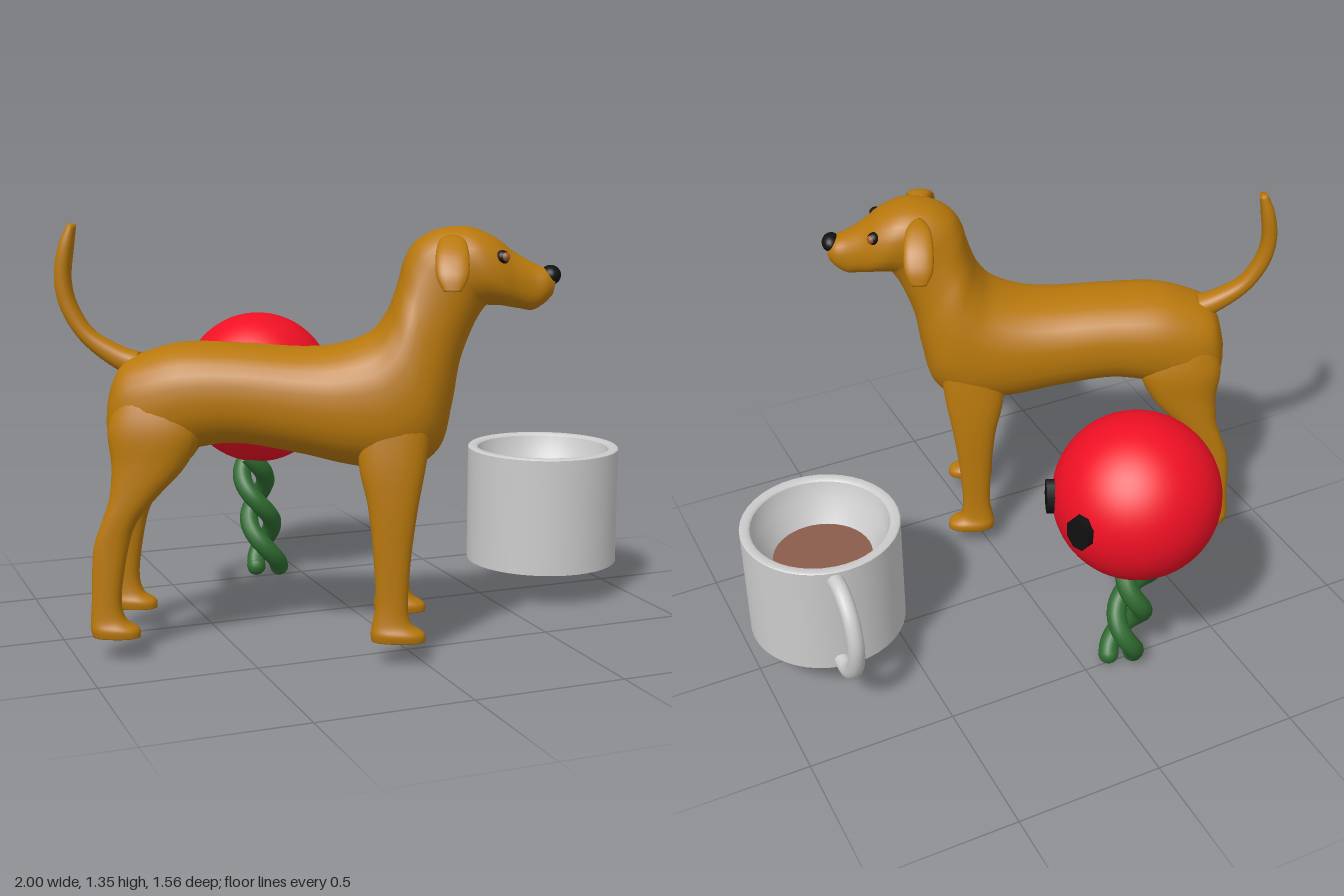
import * as THREE from 'three';

const mat = (color, side = THREE.FrontSide) => new THREE.MeshStandardMaterial({ color, side });
const fur = mat(0xb8780c), black = mat(0x111111), brown = mat(0x9a5a30);
const red = mat(0xf01024), green = mat(0x2f6b30), cocoa = mat(0x8a5d4b);
const grey = mat(0xcccccc, THREE.DoubleSide);

function add(parent, name, geometry, material, x = 0, y = 0, z = 0) {
  const m = new THREE.Mesh(geometry, material);
  m.name = name;
  m.position.set(x, y, z);
  parent.add(m);
  return m;
}

// Smooth closed skin through rings [ax, ay, bx, by, halfWidth, zOffset]:
// a and b are opposite points of the ring in the xy plane.
function loft(rings, mirror = 1, steps = 5, sides = 28) {
  const curve = (i, j) => new THREE.SplineCurve(rings.map(r => new THREE.Vector2(r[i], r[j] ?? 0)));
  const A = curve(0, 1), B = curve(2, 3), W = curve(4, 5);
  const n = (rings.length - 1) * steps;
  const pos = [], idx = [];
  const ring = (t, size) => {
    const a = A.getPoint(t), b = B.getPoint(t), w = W.getPoint(t);
    for (let j = 0; j < sides; j++) {
      const th = j / sides * Math.PI * 2;
      const pow = v => Math.sign(v) * Math.abs(v) ** 0.85 * size;
      const c = pow(Math.cos(th)), s = pow(Math.sin(th));
      pos.push((a.x + b.x + (a.x - b.x) * c) / 2, (a.y + b.y + (a.y - b.y) * c) / 2, w.y * mirror + w.x * s);
    }
  };
  ring(0, 0.001);
  for (let i = 0; i <= n; i++) ring(i / n, 1);
  ring(1, 0.001);
  for (let i = 0; i < n + 2; i++) for (let j = 0; j < sides; j++) {
    const a = i * sides + j, b = i * sides + (j + 1) % sides;
    idx.push(a, b, a + sides, b, b + sides, a + sides);
  }
  const g = new THREE.BufferGeometry();
  g.setAttribute('position', new THREE.Float32BufferAttribute(pos, 3));
  g.setIndex(idx);
  g.computeVertexNormals();
  return g;
}

function createDog() {
  const dog = new THREE.Group();
  dog.name = 'dog';
  dog.position.set(-0.3, 0, 0.335);
  dog.rotation.y = -24 * Math.PI / 180;

  // Rump to chest, up the neck and out along the muzzle
  add(dog, 'bodyAndHead', loft([
    [-0.585, 0.86, -0.605, 0.76, 0.05],
    [-0.55, 0.92, -0.59, 0.67, 0.13],
    [-0.48, 0.955, -0.5, 0.61, 0.17],
    [-0.36, 0.983, -0.36, 0.645, 0.185],
    [-0.18, 0.98, -0.2, 0.67, 0.182],
    [0, 0.97, 0, 0.64, 0.188],
    [0.12, 0.98, 0.16, 0.605, 0.198],
    [0.22, 1.02, 0.33, 0.59, 0.203],
    [0.27, 1.08, 0.44, 0.66, 0.195],
    [0.295, 1.14, 0.478, 0.8, 0.175],
    [0.31, 1.19, 0.5, 0.93, 0.15],
    [0.325, 1.245, 0.54, 1.04, 0.135],
    [0.36, 1.3, 0.575, 1.1, 0.13],
    [0.43, 1.338, 0.59, 1.105, 0.132],
    [0.52, 1.345, 0.62, 1.105, 0.132],
    [0.6, 1.315, 0.65, 1.1, 0.115],
    [0.66, 1.27, 0.68, 1.095, 0.09],
    [0.72, 1.235, 0.72, 1.09, 0.07],
    [0.765, 1.215, 0.755, 1.11, 0.058],
    [0.79, 1.19, 0.78, 1.135, 0.035],
  ]), fur);

  add(dog, 'tail', loft([
    [-0.5, 0.86, -0.5, 0.95, 0.05],
    [-0.595, 0.91, -0.56, 0.97, 0.042],
    [-0.685, 0.985, -0.645, 1.02, 0.036],
    [-0.745, 1.08, -0.695, 1.1, 0.034],
    [-0.765, 1.18, -0.712, 1.18, 0.034],
    [-0.75, 1.28, -0.702, 1.275, 0.033],
    [-0.718, 1.352, -0.692, 1.345, 0.02],
  ]), fur);

  const ear = loft([
    [0.08, 1.325, 0.08, 1.27, 0.025],
    [0.14, 1.322, 0.13, 1.28, 0.042],
    [0.21, 1.28, 0.185, 1.25, 0.05],
    [0.255, 1.22, 0.225, 1.2, 0.047],
    [0.268, 1.168, 0.25, 1.168, 0.025],
  ]);

  for (const side of [1, -1]) {
    add(dog, 'frontLeg', loft([
      [0.42, 0.82, 0.2, 0.82, 0.06, 0.12],
      [0.4, 0.64, 0.19, 0.64, 0.06, 0.14],
      [0.375, 0.5, 0.22, 0.5, 0.046, 0.158],
      [0.355, 0.35, 0.237, 0.35, 0.038, 0.163],
      [0.345, 0.2, 0.245, 0.2, 0.034, 0.165],
      [0.355, 0.13, 0.235, 0.13, 0.039, 0.165],
      [0.395, 0.1, 0.23, 0.1, 0.05, 0.165],
      [0.4, 0.075, 0.232, 0.075, 0.046, 0.165],
    ], side), fur);
    add(dog, 'hindLeg', loft([
      [-0.36, 0.87, -0.53, 0.87, 0.06, 0.09],
      [-0.295, 0.74, -0.585, 0.74, 0.08, 0.11],
      [-0.34, 0.62, -0.575, 0.62, 0.068, 0.125],
      [-0.43, 0.52, -0.58, 0.52, 0.053, 0.14],
      [-0.495, 0.44, -0.605, 0.44, 0.042, 0.15],
      [-0.525, 0.35, -0.633, 0.35, 0.036, 0.155],
      [-0.548, 0.2, -0.64, 0.2, 0.034, 0.16],
      [-0.535, 0.13, -0.645, 0.13, 0.038, 0.16],
      [-0.495, 0.1, -0.645, 0.1, 0.048, 0.16],
      [-0.49, 0.075, -0.64, 0.075, 0.045, 0.16],
    ], side), fur);
    add(dog, 'ear', ear, fur, 0.47).rotation.y = -side * Math.PI / 2;
    const ball = new THREE.SphereGeometry(1, 16, 12);
    add(dog, 'eyeRim', ball, black, 0.622, 1.257, side * 0.093).scale.setScalar(0.022);
    add(dog, 'iris', ball, brown, 0.63, 1.259, side * 0.102).scale.setScalar(0.015);
  }
  add(dog, 'nose', new THREE.SphereGeometry(1, 20, 14), black, 0.775, 1.197, 0).scale.set(0.032, 0.031, 0.042);
  return dog;
}

function createBall() {
  const toy = new THREE.Group();
  toy.name = 'ballOnStem';
  const c = new THREE.Vector3(-0.16, 0.713, -0.512);
  add(toy, 'ball', new THREE.SphereGeometry(0.273, 48, 32), red, c.x, c.y, c.z);

  // Eight-sided eyes lying on the surface
  for (const side of [1, -1]) {
    const dir = new THREE.Vector3(0.93, 0.04, side * 0.37).normalize();
    const p = dir.clone().multiplyScalar(0.272).add(c);
    const g = new THREE.CylinderGeometry(0.05, 0.05, 0.04, 8);
    g.rotateY(Math.PI / 8).rotateZ(-Math.PI / 2).scale(1, 1.2, 0.95);
    const eye = add(toy, 'ballEye', g.toNonIndexed(), black, p.x, p.y, p.z);
    eye.rotation.y = -Math.atan2(dir.z, dir.x);
  }

  // Two strands twisted round each other
  for (const side of [1, -1]) {
    const pts = [];
    for (let i = 0; i <= 24; i++) {
      const y = 0.036 + i / 24 * 0.434, a = Math.PI * (y - 0.36) / 0.17;
      pts.push(new THREE.Vector3(-0.125 - 0.15 * y + side * 0.042 * Math.cos(a), y, -0.508 + side * 0.046 * Math.sin(a)));
    }
    add(toy, 'stemStrand', new THREE.TubeGeometry(new THREE.CatmullRomCurve3(pts), 60, 0.034, 12), green);
    add(toy, 'strandTip', new THREE.SphereGeometry(0.035, 14, 10), green, ...pts[0].toArray());
  }
  return toy;
}

function createMug() {
  const mug = new THREE.Group();
  mug.name = 'mug';
  mug.position.set(0.731, 0, 0.028);

  // Separate lathes keep the edges between wall, rim and base sharp
  const lathe = (name, pts) => add(mug, name,
    new THREE.LatheGeometry(pts.map(p => new THREE.Vector2(...p)), 40), grey);
  lathe('base', [[0, 0.12], [0.267, 0.12]]);
  lathe('outerWall', [[0.267, 0.12], [0.267, 0.525]]);
  lathe('rim', [[0.267, 0.525], [0.262, 0.53], [0.24, 0.53], [0.232, 0.522]]);
  lathe('innerWall', [[0.232, 0.522], [0.215, 0.46], [0.168, 0.385], [0.16, 0.37]]);
  add(mug, 'drink', new THREE.CircleGeometry(0.168, 40), cocoa, 0, 0.387, 0).rotation.x = -Math.PI / 2;

  const path = [[-0.23, 0.49], [-0.31, 0.485], [-0.38, 0.43], [-0.414, 0.33], [-0.385, 0.215], [-0.315, 0.15], [-0.23, 0.148]];
  const curve = new THREE.CatmullRomCurve3(path.map(([z, y]) => new THREE.Vector3(0.046, y, z)));
  add(mug, 'handle', new THREE.TubeGeometry(curve, 32, 0.028, 12), grey);
  return mug;
}

export function createModel() {
  const model = new THREE.Group();
  model.name = 'dogBallAndMug';
  model.add(createDog(), createBall(), createMug());
  return model;
}
